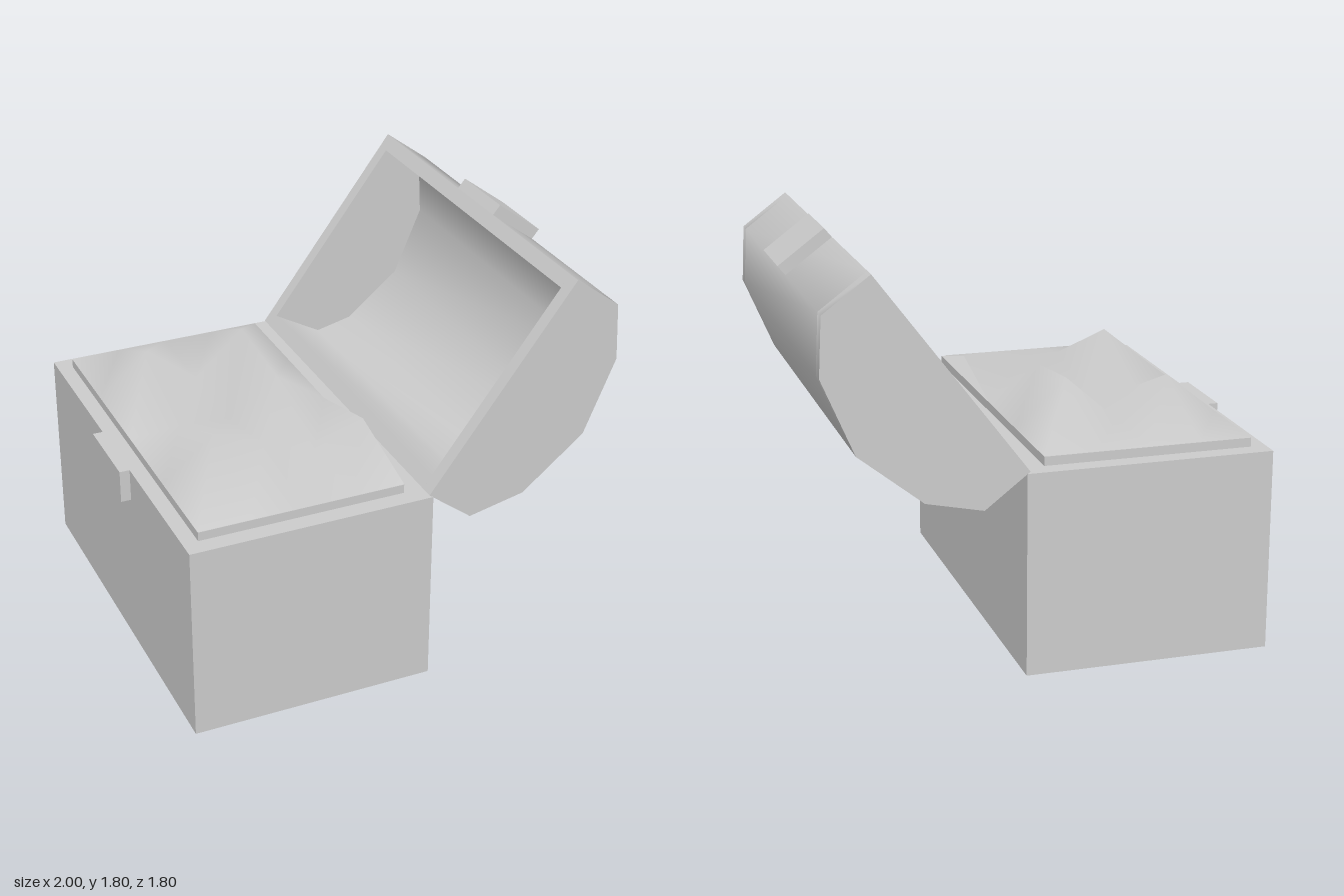
import * as THREE from 'three';
import { toCreasedNormals } from 'three/addons/utils/BufferGeometryUtils.js';

const material = new THREE.MeshStandardMaterial({ color: 0xcccccc });

function add(parent, name, geometry) {
  const mesh = new THREE.Mesh(geometry, material);
  mesh.name = name;
  parent.add(mesh);
  return mesh;
}

// Box given by its minimum and maximum corners
function box(min, max) {
  const size = max.map((v, i) => v - min[i]);
  const geometry = new THREE.BoxGeometry(...size);
  return geometry.translate(...min.map((v, i) => v + size[i] / 2));
}

// Outline in the x-y plane extruded from z0 to z1, soft across the arc's bends
function slab(points, z0, z1) {
  const shape = new THREE.Shape(points.map(([x, y]) => new THREE.Vector2(x, y)));
  const geometry = new THREE.ExtrudeGeometry(shape, { depth: z1 - z0, bevelEnabled: false });
  return toCreasedNormals(geometry.translate(0, 0, z0), 0.9);
}

export function createModel() {
  const chest = new THREE.Group();
  chest.name = 'openChest';

  // Body with its clasp plate
  add(chest, 'body', box([-0.955, 0, -0.9], [0.13, 0.893, 0.9]));
  add(chest, 'bodyClasp', box([-1, 0.745, -0.18], [-0.955, 0.893, 0.18]));

  // Contents: a low slab topped by a lumpy heap
  const contents = new THREE.Group();
  contents.name = 'contents';
  chest.add(contents);
  add(contents, 'contentsSlab', box([-0.887, 0.88, -0.82], [0.033, 0.933, 0.82]));

  // Heap heights above the slab, rows from back to front
  const heights = [
    [0, 0, 0, 0, 0],
    [0, 0.185, 0, 0.205, 0],
    [0, 0.015, 0, 0.16, 0],
    [0, 0.185, 0.09, 0, 0.105],
    [0, 0, 0, 0, 0],
  ].flat();
  const heap = new THREE.PlaneGeometry(0.92, 1.64, 4, 4).rotateX(-Math.PI / 2);
  heights.forEach((h, i) => heap.attributes.position.setY(i, h));
  heap.translate(-0.427, 0.935, 0);
  heap.computeVertexNormals();
  const heapMesh = add(contents, 'contentsHeap', heap);
  heapMesh.material = material.clone();
  heapMesh.material.side = THREE.DoubleSide;

  // Lid: hollow arched shell closed by two end panels
  const lid = new THREE.Group();
  lid.name = 'lid';
  chest.add(lid);
  const outer = [
    [0.115, 0.9], [0.31, 0.75], [0.56, 0.805], [0.84, 1.03],
    [0.98, 1.36], [0.967, 1.615], [0.765, 1.765],
  ];
  const inner = [
    [0.15, 0.947], [0.37, 0.825], [0.54, 0.865], [0.785, 1.065],
    [0.915, 1.37], [0.905, 1.575], [0.725, 1.712],
  ];
  add(lid, 'lidShell', slab([...outer, ...inner.reverse()], -0.83, 0.83));
  add(lid, 'lidFrontEnd', slab(outer, 0.83, 0.893));
  add(lid, 'lidBackEnd', slab(outer, -0.893, -0.83));

  // Clasp plate on the lid's free edge
  const clasp = [[0.765, 1.765], [0.967, 1.615], [1, 1.655], [0.798, 1.805]];
  add(lid, 'lidClasp', slab(clasp, -0.165, 0.165));

  return chest;
}
